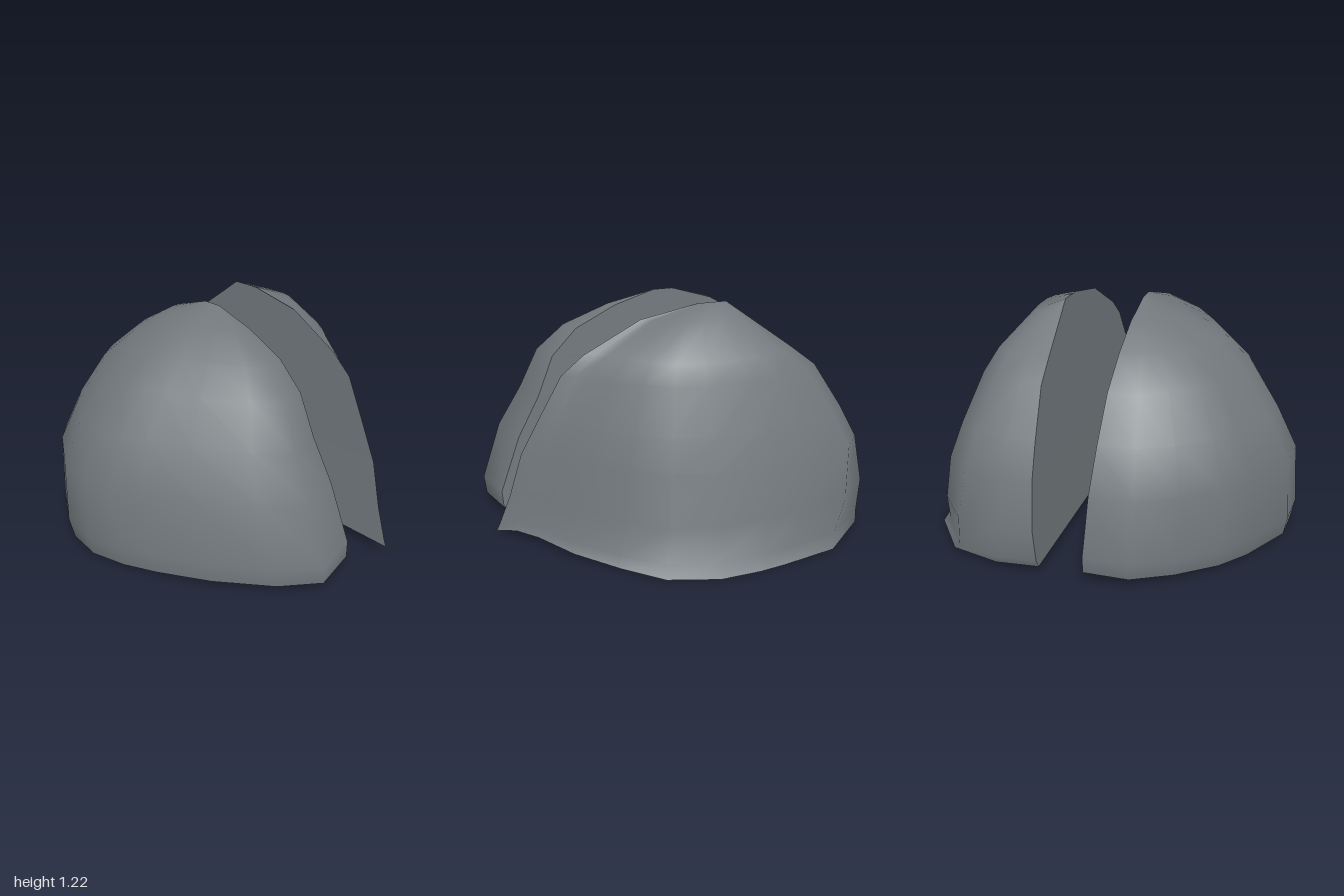
import * as THREE from 'three';

// plan: [outward fraction, z] from the back of the cut round to the front.
// rows: [y, outer x, back z, front z] from base to ridge.
// cut: x of the flat split face at the base and at the ridge.
// skew: how far the back and front flanks swing backwards above the base.
const RIGHT_HALF = {
  name: 'rightRockHalf', side: -1, cut: [-0.04, -0.10], skew: { back: 0.04, front: 0.08 },
  plan: [[0, -1], [0.25, -0.98], [0.47, -0.86], [0.68, -0.7], [0.81, -0.55], [0.98, -0.27], [1, -0.06],
    [0.94, 0.14], [0.85, 0.32], [0.69, 0.58], [0.47, 0.85], [0.27, 1], [0, 0.94]],
  rows: [[0.01, -0.95, -0.98, 0.98], [0.12, -0.97, -1, 0.99], [0.46, -0.95, -0.94, 0.88], [0.68, -0.84, -0.83, 0.75],
    [0.9, -0.69, -0.69, 0.65], [1.04, -0.53, -0.52, 0.5], [1.15, -0.3, -0.33, 0.26], [1.22, -0.1, -0.1, 0.01]],
};
const LEFT_HALF = {
  name: 'leftRockHalf', side: 1, cut: [0.19, 0.28], skew: { back: 0.21, front: 0 },
  plan: [[0, -1], [0.3, -1], [0.66, -0.91], [0.92, -0.65], [0.98, -0.35], [1, -0.2], [1, 0.02],
    [0.9, 0.28], [0.69, 0.47], [0.44, 0.66], [0.18, 0.8], [0.05, 0.9], [0, 1]],
  rows: [[0, 0.96, -0.98, 1], [0.05, 0.89, -1, 0.98], [0.23, 0.85, -1, 0.92], [0.49, 0.78, -0.93, 0.85],
    [0.66, 0.73, -0.84, 0.76], [0.9, 0.645, -0.69, 0.63], [1.0, 0.6, -0.56, 0.51], [1.16, 0.46, -0.34, 0.21],
    [1.22, 0.28, -0.26, -0.1]],
};

const { lerp } = THREE.MathUtils;

// Contour rings of one half, shrinking upward; the base rises towards the cut
function makeRings({ plan, rows, cut, skew }) {
  return rows.map(([y, outer, back, front]) => {
    const inner = lerp(cut[0], cut[1], y / 1.22);
    const lift = 0.05 * Math.max(0, 1 - y / 0.4);
    const blend = Math.min(1, y / 0.5);
    return plan.map(([f, z]) => {
      const swing = 4 * Math.abs(z) * (1 - Math.abs(z)) * (z < 0 ? skew.back : skew.front);
      const t = (z - blend * swing + 1) / 2;
      return new THREE.Vector3(lerp(inner, outer, f), y + lift * (1 - f), lerp(back, front, t));
    });
  });
}

// Smooth outer skin
function shellGeometry(rings, side) {
  const n = rings[0].length, index = [];
  for (let j = 0; j < rings.length - 1; j++) {
    for (let i = 0; i < n - 1; i++) {
      const a = j * n + i, b = a + 1, c = a + n, d = c + 1;
      if (side > 0) index.push(a, c, b, b, c, d);
      else index.push(a, b, c, b, d, c);
    }
  }
  const g = new THREE.BufferGeometry().setFromPoints(rings.flat());
  g.setIndex(index);
  g.computeVertexNormals();
  return g;
}

// Flat face from loose triangles
function flatGeometry(tris, side) {
  const pts = tris.flatMap(([a, b, c]) => (side > 0 ? [a, b, c] : [a, c, b]));
  const g = new THREE.BufferGeometry().setFromPoints(pts);
  g.computeVertexNormals();
  return g;
}

export function createModel() {
  const model = new THREE.Group();
  model.name = 'splitRock';
  const stone = new THREE.MeshStandardMaterial({ color: 0x70777b });
  stone.name = 'slateGrey';

  for (const half of [RIGHT_HALF, LEFT_HALF]) {
    const group = new THREE.Group();
    group.name = half.name;
    const add = (name, geometry) => {
      const mesh = new THREE.Mesh(geometry, stone);
      mesh.name = name;
      group.add(mesh);
    };
    const rings = makeRings(half);
    const last = rings[0].length - 1;

    add('outerShell', shellGeometry(rings, half.side));

    // split face between the back and front rims
    const cutTris = [];
    for (let j = 0; j < rings.length - 1; j++) {
      const b = rings[j][0], f = rings[j][last], bUp = rings[j + 1][0], fUp = rings[j + 1][last];
      cutTris.push([b, f, fUp], [b, fUp, bUp]);
    }
    add('splitFace', flatGeometry(cutTris, half.side));

    // underside fan
    const rim = rings[0];
    const centre = rim[0].clone().lerp(rim[last], 0.5);
    const baseTris = [];
    for (let i = 0; i < last; i++) baseTris.push([centre, rim[i], rim[i + 1]]);
    add('underside', flatGeometry(baseTris, half.side));

    model.add(group);
  }
  return model;
}
